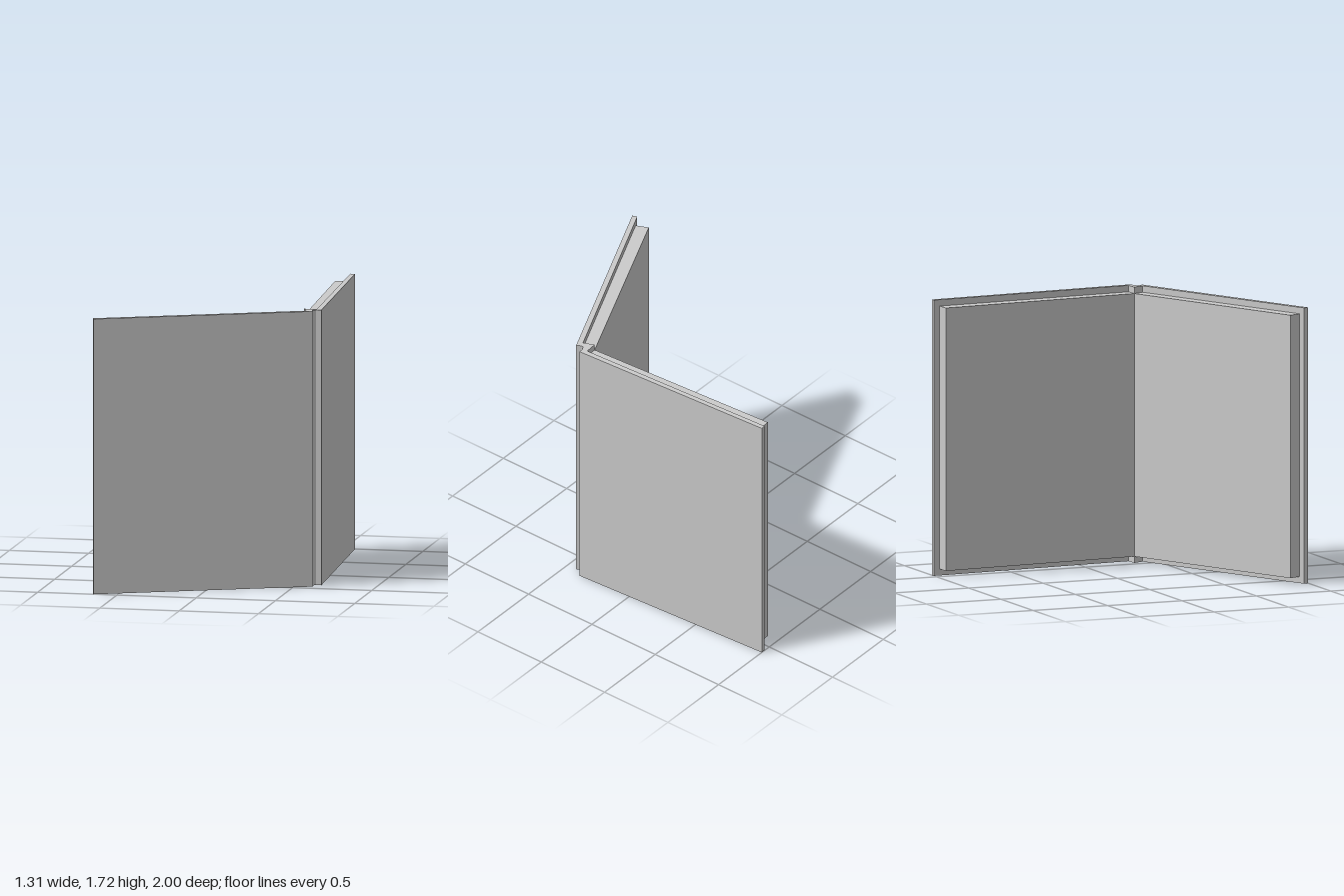
import * as THREE from 'three';

const HEIGHT = 1.72;
const INSET = 0.04; // the inner panels stop short of the plates at top and bottom

// Upright prism over a floor outline given as [x, z] corners
function prism(name, outline, bottom, top, material) {
  const shape = new THREE.Shape(outline.map(([x, z]) => new THREE.Vector2(x, -z)));
  const geometry = new THREE.ExtrudeGeometry(shape, { depth: top - bottom, bevelEnabled: false });
  geometry.rotateX(-Math.PI / 2).translate(0, bottom, 0);
  const mesh = new THREE.Mesh(geometry, material);
  mesh.name = name;
  return mesh;
}

export function createModel() {
  const material = new THREE.MeshStandardMaterial({ color: 0xcccccc });
  const group = new THREE.Group();
  group.name = 'foldingPanels';

  // Thin facing plates, full height
  const plates = {
    frontPlate: [[-0.648, 1], [0.615, 0.432], [0.602, 0.4], [-0.658, 0.969]],
    sidePlate: [[0.655, 0.374], [0.573, -1], [0.543, -0.998], [0.622, 0.376]],
  };
  for (const [name, outline] of Object.entries(plates)) {
    group.add(prism(name, outline, 0, HEIGHT, material));
  }

  // Thick inner panels, set in from the plate edges
  const panels = {
    frontPanel: [[-0.623, 0.953], [0.57, 0.415], [0.54, 0.346], [-0.657, 0.877]],
    sidePanel: [[0.545, -0.96], [0.62, 0.341], [0.54, 0.346], [0.458, -0.955]],
  };
  for (const [name, outline] of Object.entries(panels)) {
    group.add(prism(name, outline, INSET, HEIGHT - INSET, material));
  }

  // Corner post filling the wedge between the two leaves
  const post = [[0.54, 0.346], [0.57, 0.415], [0.602, 0.4], [0.602, 0.39], [0.622, 0.376], [0.62, 0.341]];
  group.add(prism('cornerPost', post, 0, HEIGHT, material));

  return group;
}
